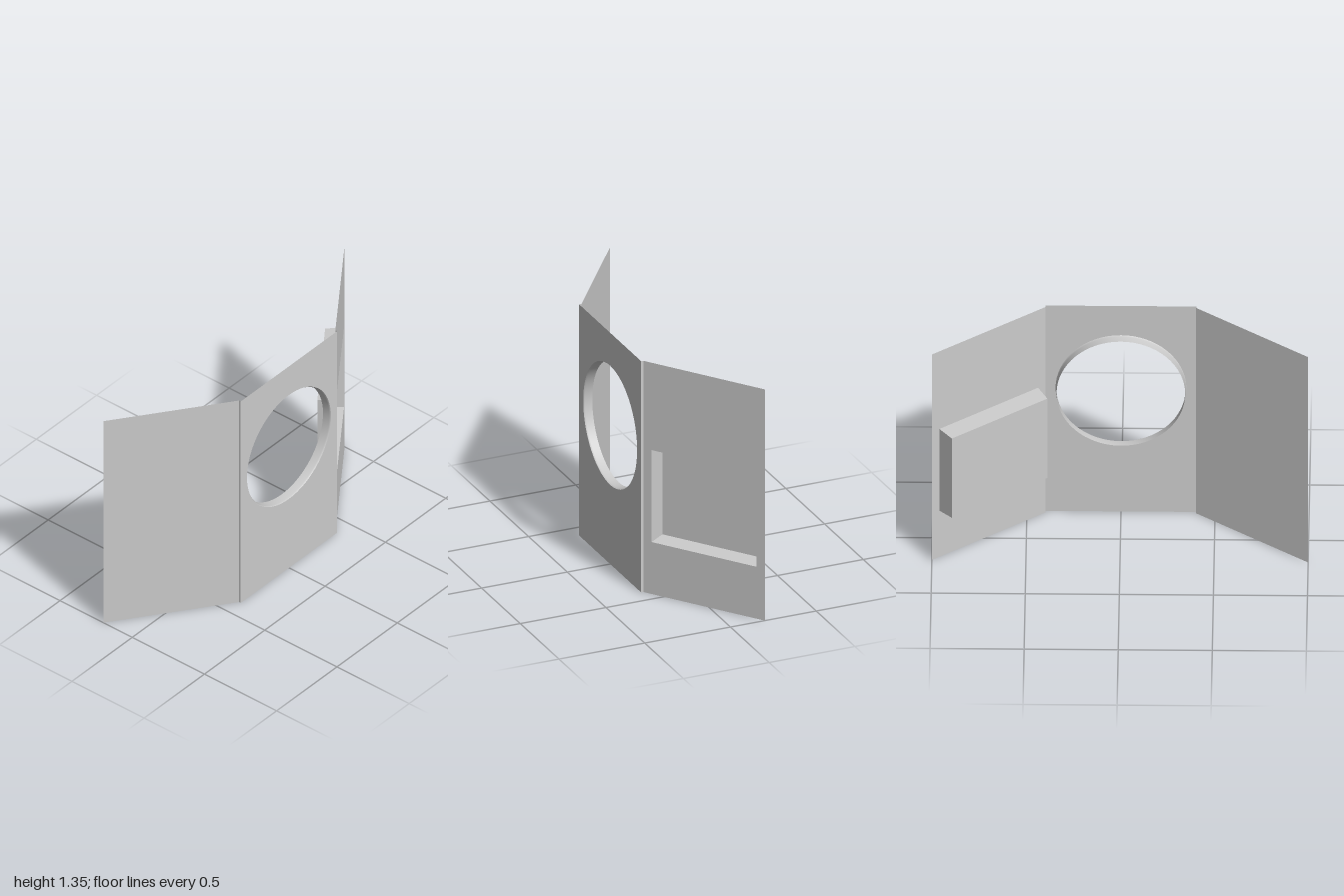
import * as THREE from 'three';

const H = 1.35, FOLD = 0.4, FRONT = 0.25, STEP = 0.237, BACK = -0.2;

export function createModel() {
  const group = new THREE.Group();
  const material = new THREE.MeshStandardMaterial({ color: 0xcccccc, side: THREE.DoubleSide });

  const add = (parent, name, geometry) => {
    const mesh = new THREE.Mesh(geometry, material);
    mesh.name = name;
    parent.add(mesh);
    return mesh;
  };

  // Flat upright sheet from x0 to x1 with an optional hole
  const sheet = (x0, x1, hole) => {
    const s = new THREE.Shape([[x0, 0], [x1, 0], [x1, H], [x0, H]].map(p => new THREE.Vector2(...p)));
    if (hole) s.holes.push(hole);
    return new THREE.ShapeGeometry(s, 32);
  };

  // Centre panel with a round opening
  const cy = 0.81, r = 0.348;
  const circle = new THREE.Path().absarc(0, cy, r, 0, Math.PI * 2, true);
  add(group, 'centrePanel', sheet(-FOLD, FOLD, circle)).position.z = FRONT;

  // Rim turned back from the round opening
  const profile = [[0.342, -0.05], [0.343, -0.008], [r, 0]].map(p => new THREE.Vector2(...p));
  const rim = add(group, 'openingRim', new THREE.LatheGeometry(profile, 64).rotateX(Math.PI / 2));
  rim.position.set(0, cy, FRONT);

  // Narrow steps at the two folds
  for (const side of [-1, 1]) {
    const step = add(group, side < 0 ? 'rightFold' : 'leftFold', new THREE.PlaneGeometry(FRONT - STEP, H));
    step.rotation.y = side * Math.PI / 2;
    step.position.set(side * FOLD, H / 2, (FRONT + STEP) / 2);
  }

  // Wings folded backwards
  const angle = Math.atan2(STEP - BACK, 1 - FOLD);
  const length = Math.hypot(STEP - BACK, 1 - FOLD);

  const plainWing = add(group, 'rightWing', sheet(-length, 0));
  plainWing.position.set(-FOLD, 0, STEP);
  plainWing.rotation.y = -angle;

  const wing = new THREE.Group();
  wing.name = 'leftWing';
  wing.position.set(FOLD, 0, STEP);
  wing.rotation.y = angle;
  group.add(wing);

  // Corners of the recess: mouth in the wing, smaller floor behind it
  const ring = (inset, z) => {
    const x0 = 0.05 + inset, x1 = 0.693 - inset, y0 = 0.303 + inset * 0.8, y1 = 0.84 - inset * 0.8;
    return [[x0, y0, z], [x1, y0, z], [x1, y1, z], [x0, y1, z]];
  };
  const mouth = ring(0, 0), floor = ring(0.01, -0.1);
  const cutout = new THREE.Path(mouth.map(([x, y]) => new THREE.Vector2(x, y)).reverse());
  add(wing, 'wingPanel', sheet(0, length, cutout));

  // Recess walls and floor
  const quads = [floor];
  for (let i = 0; i < 4; i++) {
    const j = (i + 1) % 4;
    quads.push([mouth[i], mouth[j], floor[j], floor[i]]);
  }
  const points = quads.flatMap(([a, b, c, d]) => [a, b, c, a, c, d]).flat();
  const recess = new THREE.BufferGeometry();
  recess.setAttribute('position', new THREE.Float32BufferAttribute(points, 3));
  recess.computeVertexNormals();
  add(wing, 'recess', recess);

  return group;
}
